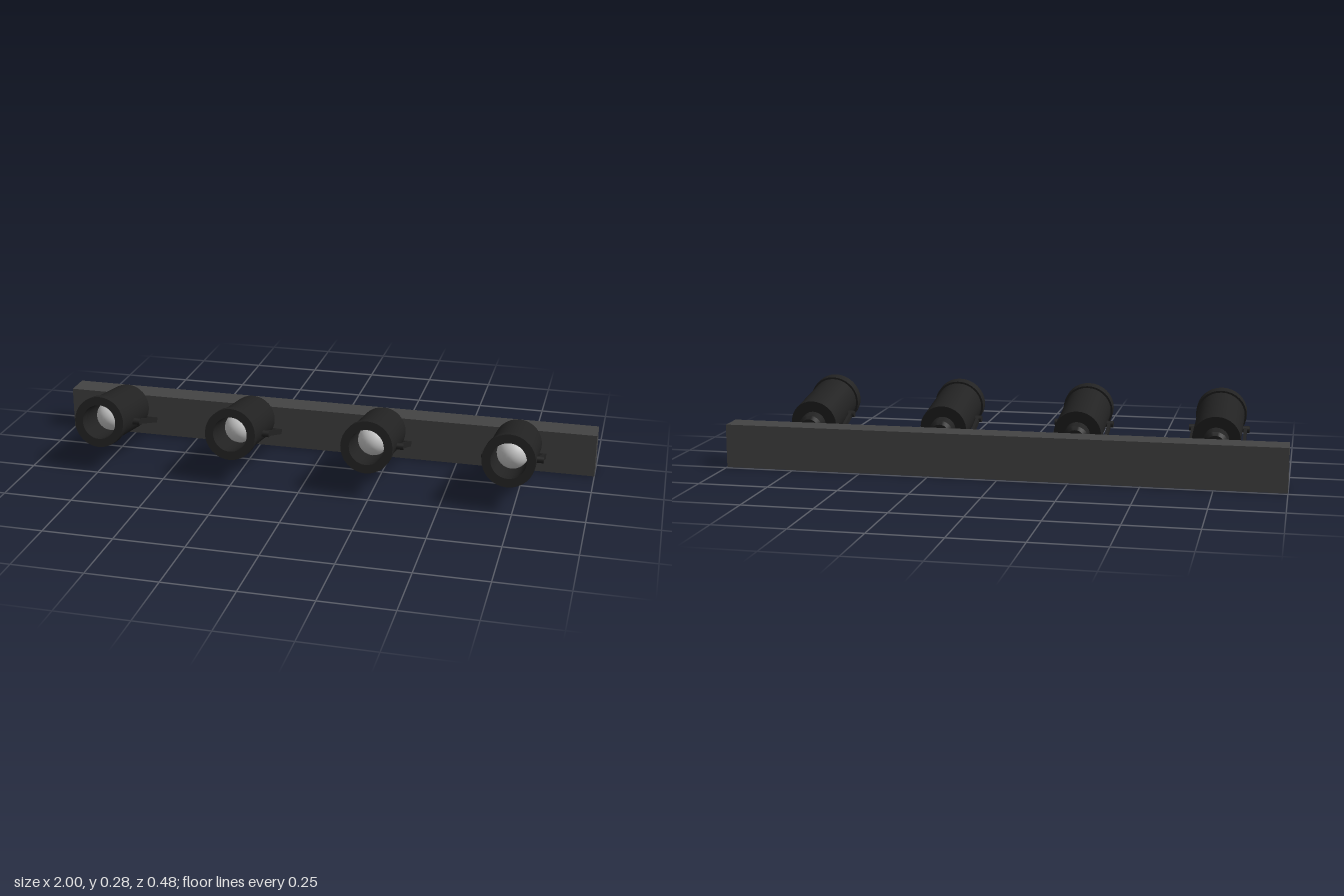
import * as THREE from 'three';
import { toCreasedNormals } from 'three/addons/utils/BufferGeometryUtils.js';

const railMat = new THREE.MeshStandardMaterial({ color: 0x444444 });
const blackMat = new THREE.MeshStandardMaterial({ color: 0x222222 });
const lensMat = new THREE.MeshStandardMaterial({ color: 0xcccccc });

function add(parent, name, geometry, material, x = 0, y = 0, z = 0) {
  const mesh = new THREE.Mesh(geometry, material);
  mesh.name = name;
  mesh.position.set(x, y, z);
  parent.add(mesh);
  return mesh;
}

function lathe(points) {
  const profile = points.map(([r, y]) => new THREE.Vector2(r, y));
  return toCreasedNormals(new THREE.LatheGeometry(profile, 32), 0.5);
}

function createSpotlight() {
  const light = new THREE.Group();
  light.name = 'spotlight';

  // Lamp can, turned around its own axis and tilted slightly upwards
  const can = new THREE.Group();
  can.name = 'lampCan';
  can.position.set(0, 0.138, -0.0615);
  can.rotation.x = Math.PI / 2 - 0.165;
  light.add(can);
  add(can, 'housing', lathe([
    [0, 0], [0.085, 0], [0.085, 0.254], [0.062, 0.254], [0.062, 0.08], [0, 0.08],
  ]), blackMat);
  add(can, 'frontRim', lathe([
    [0.062, 0.253], [0.092, 0.253], [0.092, 0.289], [0.062, 0.289], [0.062, 0.253],
  ]), blackMat);
  add(can, 'rearCap', lathe([
    [0, -0.052], [0.034, -0.052], [0.045, -0.041], [0.045, 0.002],
  ]), blackMat);
  add(can, 'bulb', new THREE.SphereGeometry(0.056, 24, 16), lensMat, 0, 0.158, 0);

  // Yoke: two arms, pivot knobs and a rear crossbar
  const yoke = new THREE.Group();
  yoke.name = 'yoke';
  yoke.position.set(0, 0.147, 0.094);
  yoke.rotation.x = -0.338;
  light.add(yoke);
  const armLength = 0.214;
  for (const side of [-1, 1]) {
    add(yoke, 'yokeArm', new THREE.BoxGeometry(0.011, 0.019, armLength), blackMat,
      side * 0.0935, 0, -armLength / 2);
    const knob = add(yoke, 'pivotKnob', new THREE.CylinderGeometry(0.012, 0.012, 0.028, 20),
      blackMat, side * 0.094, 0, 0);
    knob.rotation.z = Math.PI / 2;
  }
  add(yoke, 'yokeCrossbar', new THREE.BoxGeometry(0.198, 0.019, 0.018), blackMat,
    0, 0, -armLength + 0.009);

  // Stem joining the yoke to the rail
  add(light, 'mountStem', new THREE.BoxGeometry(0.09, 0.028, 0.042), blackMat, 0, 0.077, -0.129);
  return light;
}

export function createModel() {
  const model = new THREE.Group();
  model.name = 'spotlightRail';

  // Long mounting rail
  add(model, 'rail', new THREE.BoxGeometry(2, 0.157, 0.095), railMat, 0, 0.0785, -0.192);

  // Row of four identical lights
  for (let i = 0; i < 4; i++) {
    const light = createSpotlight();
    light.position.x = -0.745 + i * 0.491;
    model.add(light);
  }
  return model;
}
